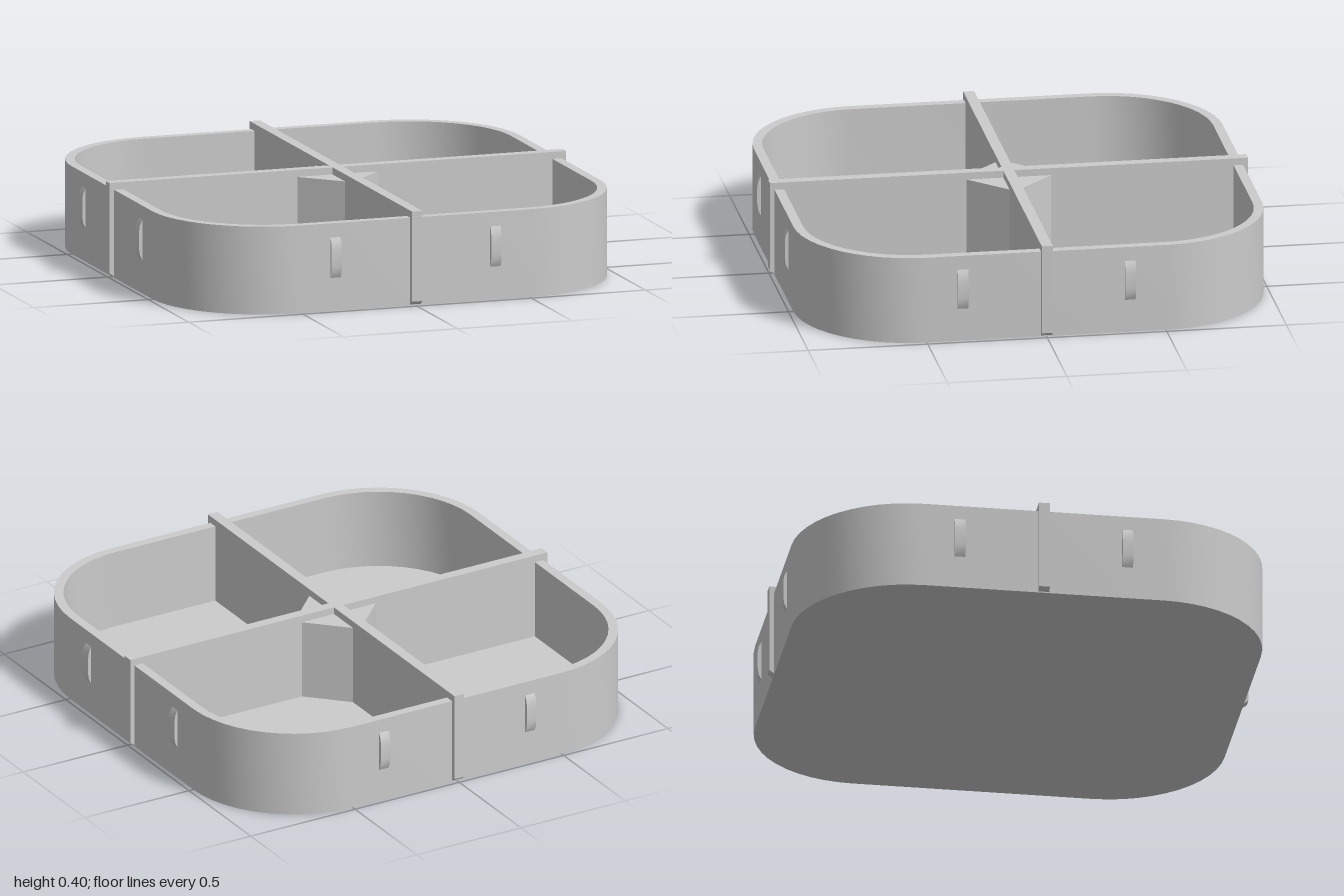
import * as THREE from 'three';
import { toCreasedNormals } from 'three/addons/utils/BufferGeometryUtils.js';

const material = new THREE.MeshStandardMaterial({ color: 0xcccccc });
const HALF = 0.98, WALL = 0.04, RADIUS = 0.48, RIM = 0.37, FLOOR = 0.03;
const TOP = 0.4, DIVIDER = 0.046;

// Traces a square with rounded corners, six segments per corner
function roundedSquare(path, half, radius) {
  const c = half - radius;
  path.moveTo(half, -c);
  [[1, 1], [-1, 1], [-1, -1], [1, -1]].forEach(([sx, sy], i) => {
    const a = i * Math.PI / 2;
    path.absarc(sx * c, sy * c, radius, a, a + Math.PI / 2, false);
  });
  return path;
}

// Extrudes a shape and keeps only the gentle corners smooth
function extrude(shape, depth) {
  const geo = new THREE.ExtrudeGeometry(shape, { depth, bevelEnabled: false, curveSegments: 6 });
  return toCreasedNormals(geo, 0.5);
}

function polygon(points) {
  return new THREE.Shape(points.map(([x, y]) => new THREE.Vector2(x, y)));
}

function addMesh(parent, name, geo) {
  const mesh = new THREE.Mesh(geo, material);
  mesh.name = name;
  parent.add(mesh);
  return mesh;
}

export function createModel() {
  const tray = new THREE.Group();
  tray.name = 'dividedTray';

  // Outer wall
  const ring = roundedSquare(new THREE.Shape(), HALF, RADIUS);
  ring.holes.push(roundedSquare(new THREE.Path(), HALF - WALL, RADIUS - WALL));
  addMesh(tray, 'outerWall', extrude(ring, RIM).rotateX(-Math.PI / 2));

  // Floor plate, fitted inside the wall
  const plate = roundedSquare(new THREE.Shape(), HALF - WALL, RADIUS - WALL);
  addMesh(tray, 'floor', extrude(plate, FLOOR).rotateX(-Math.PI / 2));

  // Crossed dividers, running out through the wall with chamfered feet
  const dividerShape = polygon([
    [-0.975, 0.001], [0.975, 0.001], [1, 0.02], [1, TOP], [-1, TOP], [-1, 0.02],
  ]);
  const dividerGeo = extrude(dividerShape, DIVIDER).translate(0, 0, -DIVIDER / 2);
  ['dividerAcross', 'dividerFrontToBack'].forEach((name, i) => {
    addMesh(tray, name, dividerGeo).rotation.y = i * Math.PI / 2;
  });

  // Triangular corner blocks where the dividers meet
  const blockShape = polygon([[0, 0], [0.2, 0], [0, 0.2]]);
  const blockGeo = extrude(blockShape, RIM - 0.01).rotateX(-Math.PI / 2).translate(0, 0.01, 0);

  // Rounded catches, two on each side
  const clipWidth = 0.045;
  const clipShape = polygon([
    [0.96, 0.14], [0.98, 0.14], [0.991, 0.162], [0.995, 0.19],
    [0.995, 0.26], [0.991, 0.288], [0.98, 0.31], [0.96, 0.31],
  ]);
  const clipGeo = extrude(clipShape, clipWidth).translate(0, 0, -clipWidth / 2);

  for (let i = 0; i < 4; i++) {
    const side = new THREE.Group();
    side.name = 'side' + (i + 1);
    side.rotation.y = i * Math.PI / 2;
    addMesh(side, 'cornerBlock', blockGeo);
    for (const s of [-1, 1]) addMesh(side, 'catch', clipGeo).position.z = s * 0.35;
    tray.add(side);
  }
  return tray;
}
